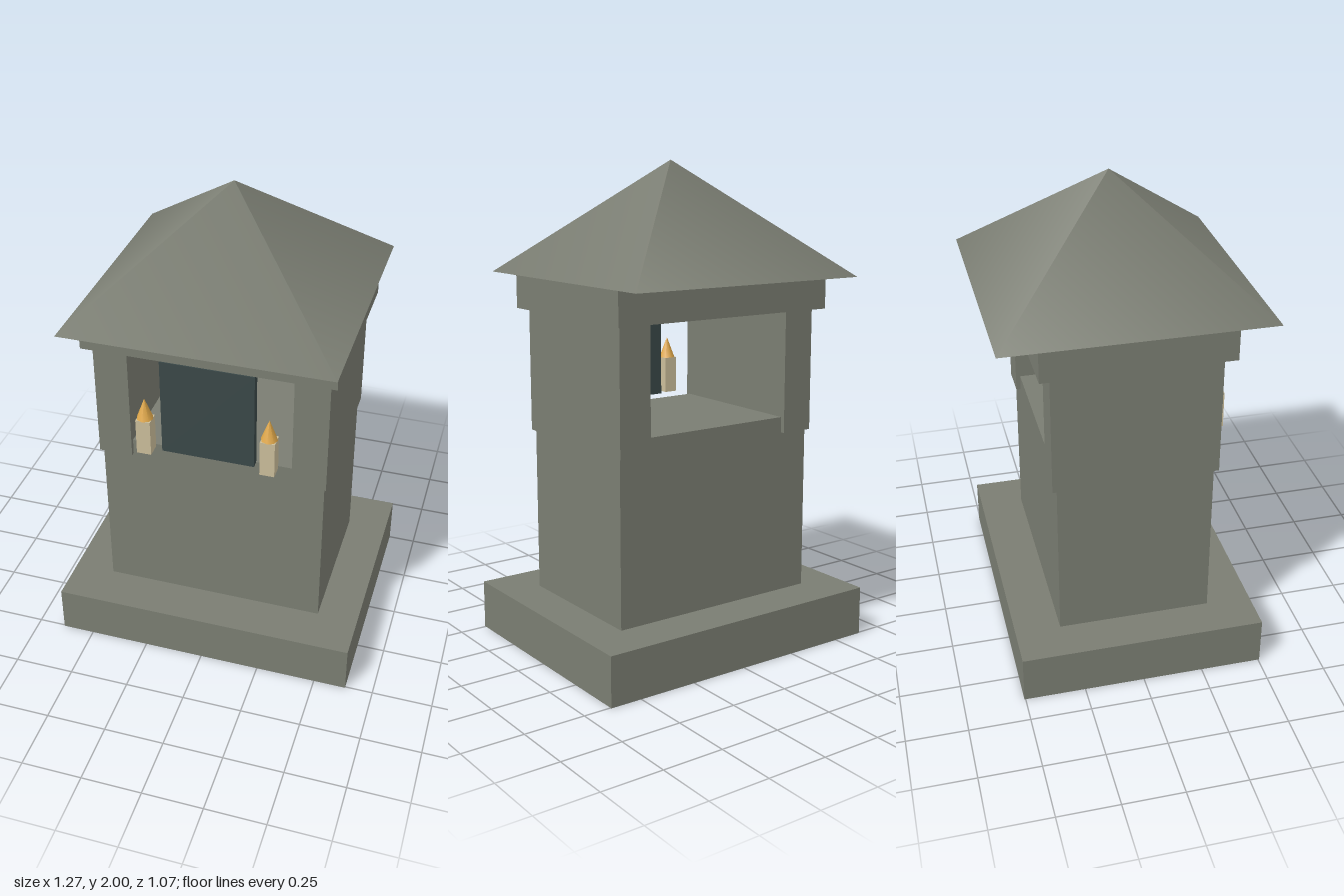
import * as THREE from 'three';

const material = (name, color) => {
  const m = new THREE.MeshStandardMaterial({ color });
  m.name = name;
  return m;
};

export function createModel() {
  const stone = material('stone', 0x7a7d72);
  const slate = material('dark slate', 0x3a4848);
  const wax = material('wax', 0xcabd9a);
  const flame = material('flame', 0xe0a84a);

  const model = new THREE.Group();
  model.name = 'shrine';

  const add = (name, geometry, mat, x, y, z) => {
    const mesh = new THREE.Mesh(geometry, mat);
    mesh.name = name;
    mesh.position.set(x, y, z);
    model.add(mesh);
    return mesh;
  };
  // Box placed by its bottom and top heights
  const block = (name, mat, w, d, y0, y1, x = 0, z = 0) =>
    add(name, new THREE.BoxGeometry(w, y1 - y0, d), mat, x, (y0 + y1) / 2, z);

  // Stone body
  block('base', stone, 1.27, 1.01, 0, 0.205);
  block('pillar', stone, 0.93, 0.635, 0.205, 0.955);
  block('lintel', stone, 1.015, 0.76, 1.4, 1.54);

  // Four-sided roof, shaded smoothly round the hips
  const roof = new THREE.ConeGeometry(0.535 * Math.SQRT2, 0.46, 4);
  roof.rotateY(Math.PI / 4);
  add('roof', roof, stone, 0, 1.77, 0);

  // Picture panel at the front of the open niche
  block('panel', slate, 0.38, 0.034, 0.97, 1.39, 0, 0.353);

  // Niche walls and candles, mirrored
  for (const [side, s] of [['left', 1], ['right', -1]]) {
    block(side + 'Wall', stone, 0.14, 0.672, 0.89, 1.4, s * 0.405);
    block(side + 'Candle', wax, 0.06, 0.06, 0.97, 1.125, s * 0.253, 0.38);
    add(side + 'Flame', new THREE.ConeGeometry(0.034, 0.09, 8), flame, s * 0.253, 1.17, 0.38);
  }
  return model;
}
